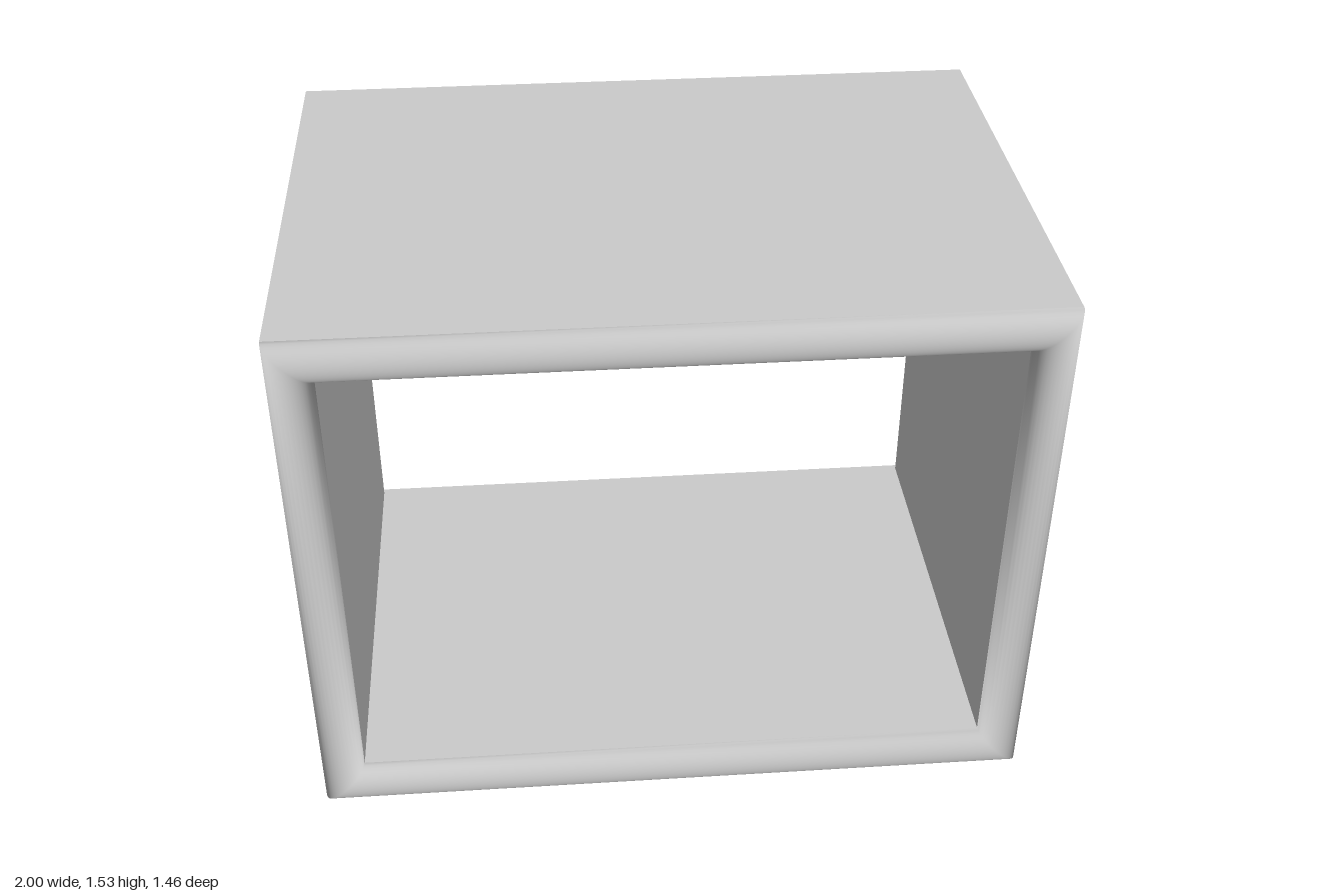
import * as THREE from 'three';

const W = 2, H = 1.535, BACK = -0.73, FRONT = 0.73, RIM = 0.675;
const INSET_X = 0.118, INSET_Y = 0.112; // full thickness of the double wall
const SKIN = 0.02;                      // thickness of each sheet

// Rectangle corners, drawn in by dx and dy, anticlockwise from the front
function corners(dx, dy) {
  const x = W / 2 - dx;
  return [[-x, dy], [x, dy], [x, H - dy], [-x, H - dy]].map(([a, b]) => new THREE.Vector2(a, b));
}

// Rectangular sleeve, open at both ends
function sleeve(name, dx, dy, back, material) {
  const shape = new THREE.Shape(corners(dx, dy));
  shape.holes.push(new THREE.Path(corners(dx + SKIN, dy + SKIN).reverse()));
  const geometry = new THREE.ExtrudeGeometry(shape, { depth: RIM - back, bevelEnabled: false });
  geometry.translate(0, 0, back);
  const mesh = new THREE.Mesh(geometry, material);
  mesh.name = name;
  return mesh;
}

// Half-round moulding swept round the opening, with soft mitred corners
function roundedRim(material) {
  const steps = 16, positions = [], index = [];
  for (let i = 0; i <= steps; i++) {
    const a = (i / steps) * Math.PI, t = (1 - Math.cos(a)) / 2;
    const z = RIM + (FRONT - RIM) * Math.sin(a);
    for (const p of corners(INSET_X * t, INSET_Y * t)) positions.push(p.x, p.y, z);
  }
  for (let i = 0; i < steps; i++) {
    for (let k = 0; k < 4; k++) {
      const a = i * 4 + k, b = i * 4 + (k + 1) % 4;
      index.push(a, b, b + 4, a, b + 4, a + 4);
    }
  }
  const geometry = new THREE.BufferGeometry();
  geometry.setAttribute('position', new THREE.Float32BufferAttribute(positions, 3));
  geometry.setIndex(index);
  geometry.computeVertexNormals();
  const mesh = new THREE.Mesh(geometry, material);
  mesh.name = 'frontRim';
  return mesh;
}

export function createModel() {
  const group = new THREE.Group();
  group.name = 'openBoxHousing';
  const grey = new THREE.MeshStandardMaterial({ color: 0xcccccc });
  const thin = new THREE.MeshStandardMaterial({ color: 0xcccccc, side: THREE.DoubleSide });

  // The outer shell runs to the back; the inner liner stops short of it
  group.add(sleeve('outerShell', 0, 0, BACK, grey));
  group.add(sleeve('innerLiner', INSET_X - SKIN, INSET_Y - SKIN, -0.59, grey));
  group.add(roundedRim(thin));
  return group;
}
